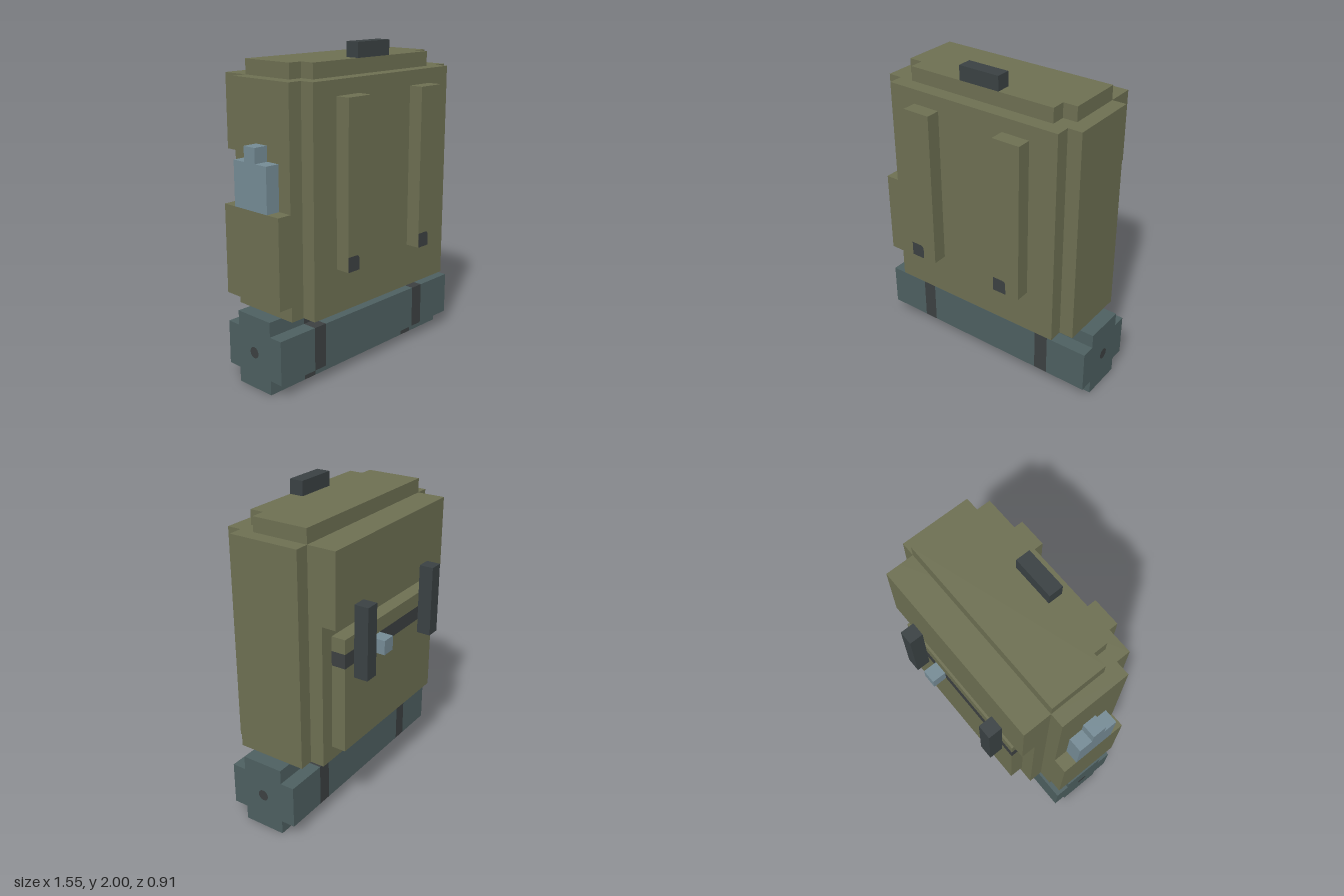
import * as THREE from 'three';

const U = 1 / 11; // one block; all sizes below are in blocks

const mat = (name, color) => Object.assign(new THREE.MeshStandardMaterial({ color }), { name });

export function createModel() {
  const canvas = mat('olive canvas', 0x6d6f52);
  const roll = mat('teal bedroll', 0x4d5f60);
  const dark = mat('dark leather', 0x3a4143);
  const strapGrey = mat('charcoal strap', 0x3c4041);
  const metal = mat('blue grey metal', 0x758b95);

  const model = new THREE.Group();
  model.name = 'backpack';
  const add = (name, geometry, material) => {
    const mesh = new THREE.Mesh(geometry, material);
    mesh.name = name;
    model.add(mesh);
    return mesh;
  };
  // box from its x, y and z ranges
  const box = (name, material, [x0, x1], [y0, y1], [z0, z1]) => {
    const g = new THREE.BoxGeometry((x1 - x0) * U, (y1 - y0) * U, (z1 - z0) * U);
    g.translate((x0 + x1) / 2 * U, (y0 + y1) / 2 * U, (z0 + z1) / 2 * U);
    return add(name, g, material);
  };

  // main bag with stepped sides and lid
  box('bagBody', canvas, [-6.5, 6.5], [5, 20], [-3, 4]);
  box('rightSidePanel', canvas, [-7.5, -6.5], [5, 20], [-2, 3]);
  box('leftSidePanel', canvas, [6.5, 7.5], [5, 20], [-2, 3]);
  box('lid', canvas, [-6.5, 6.5], [20, 21], [-2, 2]);
  box('lidFront', canvas, [-5.5, 5.5], [20, 21], [2, 3]);
  box('carryHandle', dark, [-1.5, 1.5], [21, 22], [2, 3]);

  // rear flap, pocket with its band, hanging straps and clip
  box('flap', canvas, [-6.5, 6.5], [15, 20], [-4, -3]);
  box('pocketLower', canvas, [-5.5, 5.5], [6, 12], [-4, -3]);
  box('pocketBand', strapGrey, [-5.5, 5.5], [12, 13], [-4, -3]);
  box('pocketUpper', canvas, [-5.5, 5.5], [13, 14], [-4, -3]);
  box('flapStrapRight', dark, [-4.5, -3.5], [11, 16], [-5, -4]);
  box('flapStrapLeft', dark, [3.5, 4.5], [11, 16], [-5, -4]);
  box('clip', metal, [1.5, 2.5], [12, 13], [-5, -4]);

  // shoulder straps, each with a round-cornered buckle patch
  const patch = new THREE.Shape();
  patch.moveTo(0, 0).lineTo(U, 0).lineTo(U, 0.7 * U);
  patch.quadraticCurveTo(U, U, 0.7 * U, U).lineTo(0, U);
  for (const x of [-4.5, 2.5]) {
    box('shoulderStrap', canvas, [x, x + 2], [8, 19], [4, 5]);
    add('buckle', new THREE.ShapeGeometry(patch), strapGrey).position.set(x * U, 8 * U, 5 * U + 0.002);
  }

  // side pocket and bottle
  box('sidePocket', canvas, [-8.5, -7.5], [6, 12], [-2, 3]);
  box('bottle', metal, [-8.5, -7.5], [12, 15], [-1, 2]);
  box('bottleCap', metal, [-8.5, -7.5], [15, 16], [0, 1]);

  // bedroll: a stepped cross-section split along x into roll and strap sections
  const section = new THREE.Shape([
    [-2, 0], [1, 0], [1, 1], [2, 1], [2, 4], [1, 4],
    [1, 5], [-2, 5], [-2, 4], [-3, 4], [-3, 1], [-2, 1],
  ].map(([a, b]) => new THREE.Vector2(a * U, b * U)));
  const cuts = [-8.5, -5.5, -4.5, 4.5, 5.5, 8.5];
  for (let i = 0; i < 5; i++) {
    const g = new THREE.ExtrudeGeometry(section, { depth: (cuts[i + 1] - cuts[i]) * U, bevelEnabled: false });
    g.rotateY(Math.PI / 2).translate(cuts[i] * U, 0, 0);
    add(i % 2 ? 'bedrollStrap' : 'bedroll', g, i % 2 ? strapGrey : roll);
  }
  for (const s of [-1, 1]) {
    const dot = add('bedrollEndDot', new THREE.CircleGeometry(0.035, 20), strapGrey);
    dot.position.set(s * (8.5 * U + 0.002), 2.5 * U, 0.5 * U);
    dot.rotation.y = s * Math.PI / 2;
  }
  return model;
}
